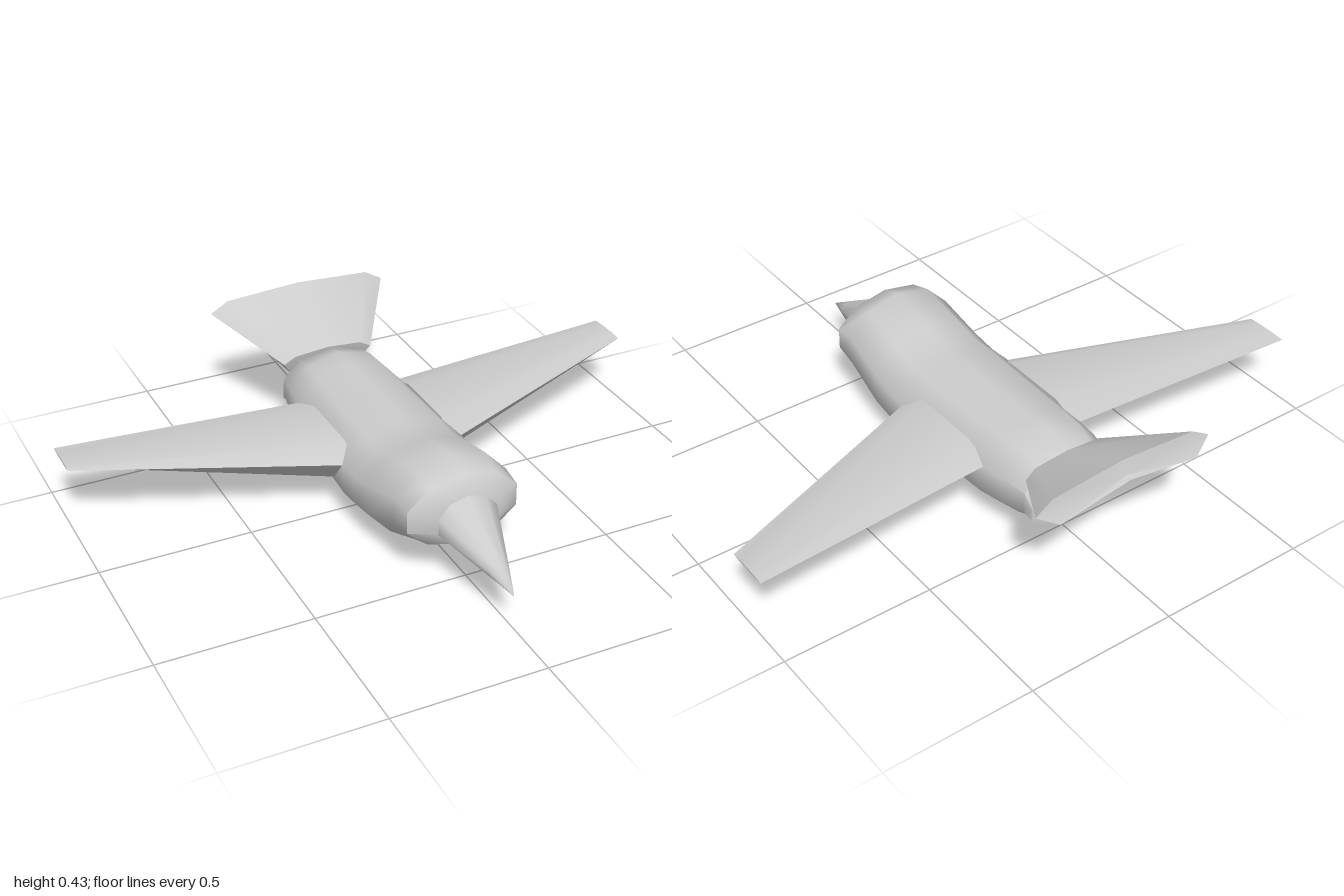
import * as THREE from 'three';
import { toCreasedNormals } from 'three/addons/utils/BufferGeometryUtils.js';

const material = new THREE.MeshStandardMaterial({ color: 0xcccccc });

// Skins a series of equal-length rings and closes both ends with fans.
// Rings run counter-clockwise seen from outside the first end.
function loft(name, rings, crease) {
  const n = rings[0].length;
  const points = rings.flat();
  const index = [];
  for (let i = 0; i < rings.length - 1; i++) {
    for (let j = 0; j < n; j++) {
      const k = (j + 1) % n;
      const a = i * n + j, b = i * n + k, c = b + n, d = a + n;
      index.push(a, d, c, a, c, b);
    }
  }
  const addCap = (start, flip) => {
    const ring = points.slice(start, start + n);
    const centre = [0, 1, 2].map((axis) => ring.reduce((sum, p) => sum + p[axis], 0) / n);
    const c = points.push(centre) - 1;
    for (let j = 0; j < n; j++) {
      const a = start + j, b = start + ((j + 1) % n);
      index.push(c, flip ? b : a, flip ? a : b);
    }
  };
  addCap(0, false);
  addCap((rings.length - 1) * n, true);
  const geometry = new THREE.BufferGeometry();
  geometry.setAttribute('position', new THREE.Float32BufferAttribute(points.flat(), 3));
  geometry.setIndex(index);
  const mesh = new THREE.Mesh(toCreasedNormals(geometry, crease), material);
  mesh.name = name;
  return mesh;
}

// Ten-sided oval ring starting at the bottom
function oval([z, halfWidth, bottom, top]) {
  return Array.from({ length: 10 }, (_, i) => {
    const a = (i / 10) * Math.PI * 2;
    return [
      (halfWidth / 0.951) * Math.sin(a),
      (top + bottom) / 2 - ((top - bottom) / 2) * Math.cos(a),
      z,
    ];
  });
}

// Completes a ring from its right half, listed from bottom centre to top centre
function mirrorRing(half) {
  const other = half.slice(1, -1).reverse().map(([x, y, z]) => [-x, y, z]);
  return [...half, ...other];
}

// Wing section in the y-z plane, from the leading edge over the top
const wingRoot = [[0.08, 0.21], [0, 0.255], [-0.24, 0.255], [-0.34, 0.22], [-0.2, 0.12], [0, 0.12]];
const wingTip = [[-0.25, 0.23], [-0.28, 0.233], [-0.36, 0.233], [-0.4, 0.23], [-0.36, 0.226], [-0.28, 0.226]];

function wing(name, side) {
  const rings = [[0.17, wingRoot], [1, wingTip]].map(([x, section]) => {
    const ring = section.map(([z, y]) => [side * x, y, z]);
    return side > 0 ? ring : ring.reverse();
  });
  return loft(name, rings, 1.0);
}

export function createModel() {
  const group = new THREE.Group();
  group.name = 'bird';

  // Head and body: z, half width, bottom, top
  const bodySections = [
    [0.505, 0.1, 0.125, 0.3],
    [0.47, 0.185, 0.11, 0.35],
    [0.39, 0.19, 0.075, 0.38],
    [0.23, 0.2, 0.005, 0.345],
    [0.14, 0.205, 0.005, 0.32],
    [0.07, 0.21, 0.005, 0.32],
    [-0.33, 0.19, 0.01, 0.328],
    [-0.42, 0.178, 0.028, 0.33],
    [-0.515, 0.162, 0.063, 0.3],
    [-0.545, 0.155, 0.075, 0.22],
  ];
  group.add(loft('body', bodySections.map(oval), 0.95));

  // Beak tapering down to a point
  const beakSections = [
    [0.79, 0.002, 0.118, 0.122],
    [0.7, 0.033, 0.12, 0.178],
    [0.5, 0.1, 0.125, 0.3],
  ];
  group.add(loft('beak', beakSections.map(oval), 1.1));

  // Wings
  group.add(wing('leftWing', 1), wing('rightWing', -1));

  // Raised fan tail
  const tailRoot = [
    [0, 0.22, -0.54], [0.12, 0.21, -0.54], [0.16, 0.27, -0.515],
    [0.12, 0.295, -0.51], [0, 0.305, -0.51],
  ];
  const tailEnd = [
    [0, 0.385, -0.797], [0.255, 0.345, -0.797], [0.322, 0.383, -0.768],
    [0.26, 0.42, -0.765], [0, 0.437, -0.762],
  ];
  group.add(loft('tail', [tailRoot, tailEnd].map(mirrorRing), 0.5));

  return group;
}
